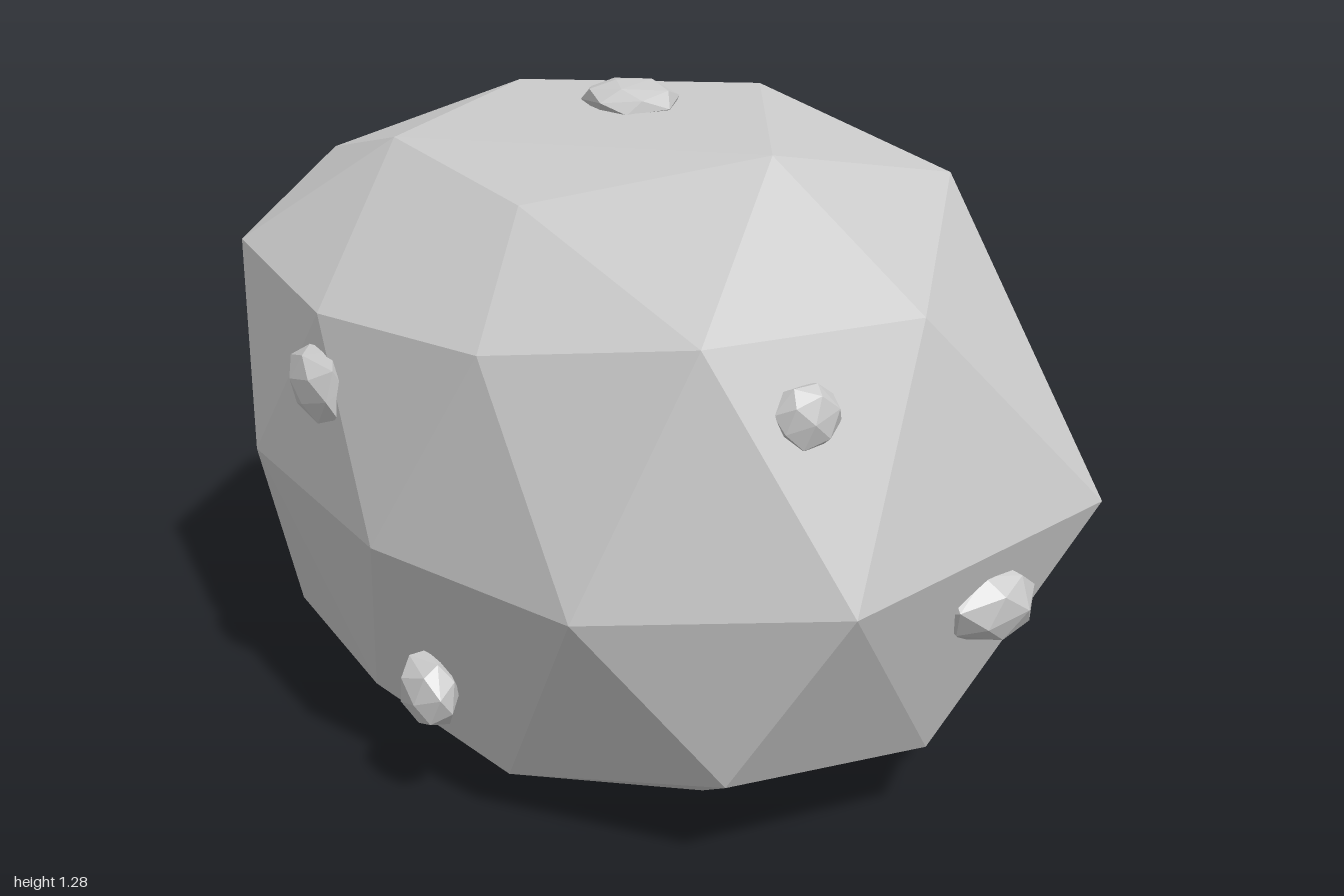
import * as THREE from 'three';
import { ConvexGeometry } from 'three/addons/geometries/ConvexGeometry.js';

const material = new THREE.MeshStandardMaterial({ color: 0xcccccc, flatShading: true });

// Corners of the boulder, in cross-sections from front to back.
const sections = [
  // front tip and front ring
  [[-0.12, 0.56, 1], [-0.32, 1.01, 0.82], [0.11, 1.01, 0.84], [0.49, 0.62, 0.88],
    [0.18, 0.165, 0.8], [-0.25, 0.19, 0.8], [-0.53, 0.54, 0.75]],
  // front shoulder
  [[0.01, 1.235, 0.5], [0.46, 1.14, 0.42], [0.62, 0.36, 0.45], [0.34, 0.09, 0.3],
    [-0.12, 0.01, 0.5], [-0.48, 0.09, 0.4], [-0.56, 0.94, 0.47], [-0.38, 1.14, 0.27]],
  // middle
  [[0.29, 1.257, 0], [0.615, 1.07, 0], [0.64, 0.7, 0.27], [0.64, 0.7, -0.27], [0.715, 0.3, 0],
    [-0.34, 0.003, 0.05], [-0.58, 0.13, 0], [-0.68, 0.53, 0.25], [-0.67, 0.91, 0]],
  // back shoulder
  [[-0.05, 1.23, -0.4], [0.445, 1.14, -0.46], [0.63, 0.33, -0.46], [0.36, 0.11, -0.38],
    [-0.02, 0.06, -0.48], [-0.57, 0.15, -0.43], [-0.68, 0.53, -0.36], [-0.62, 0.92, -0.56], [-0.4, 1.17, -0.25]],
  // back ring and back tip
  [[-0.3, 1.03, -0.835], [0.1, 1.03, -0.84], [0.415, 0.67, -0.77], [0.18, 0.22, -0.83],
    [-0.3, 0.19, -0.83], [-0.49, 0.58, -0.73], [-0.05, 0.61, -1]],
];

// Small stones half sunk into the surface: name, centre, radii.
const pebbles = [
  ['frontUpperPebble', [-0.145, 0.885, 0.87], [0.065, 0.063, 0.045]],
  ['frontLowerPebble', [0.235, 0.475, 0.885], [0.1, 0.08, 0.065]],
  ['lowerRightPebble', [-0.595, 0.25, 0.3], [0.05, 0.08, 0.085]],
  ['rightPebble', [-0.675, 0.775, 0], [0.046, 0.078, 0.11]],
  ['topPebble', [0.02, 1.245, -0.05], [0.09, 0.037, 0.12]],
  ['leftPebble', [0.635, 0.57, -0.35], [0.045, 0.075, 0.11]],
  ['backPebble', [-0.27, 0.44, -0.86], [0.075, 0.08, 0.05]],
  ['bottomPebble', [0.09, 0.045, -0.19], [0.09, 0.033, 0.11]],
];

function seeded(seed) {
  return () => (seed = (seed * 16807) % 2147483647) / 2147483647;
}

// A chipped stone: the hull of jittered points spread evenly over an ellipsoid.
function pebbleGeometry(radii, seed) {
  const random = seeded(seed);
  const count = 22;
  const points = [];
  for (let i = 0; i < count; i++) {
    const y = 1 - (2 * i + 1) / count;
    const ring = Math.sqrt(1 - y * y);
    const angle = i * 2.4 + seed;
    const size = 0.92 + 0.16 * random();
    points.push(new THREE.Vector3(Math.cos(angle) * ring, y, Math.sin(angle) * ring)
      .multiplyScalar(size).multiply(new THREE.Vector3(...radii)));
  }
  return new ConvexGeometry(points);
}

export function createModel() {
  const group = new THREE.Group();
  group.name = 'rock';
  const add = (name, geometry, position = [0, 0, 0]) => {
    const mesh = new THREE.Mesh(geometry, material);
    mesh.name = name;
    mesh.position.set(...position);
    group.add(mesh);
  };

  add('boulder', new ConvexGeometry(sections.flat().map((p) => new THREE.Vector3(...p))));
  pebbles.forEach(([name, centre, radii], i) => add(name, pebbleGeometry(radii, 101 + i * 37), centre));
  return group;
}
